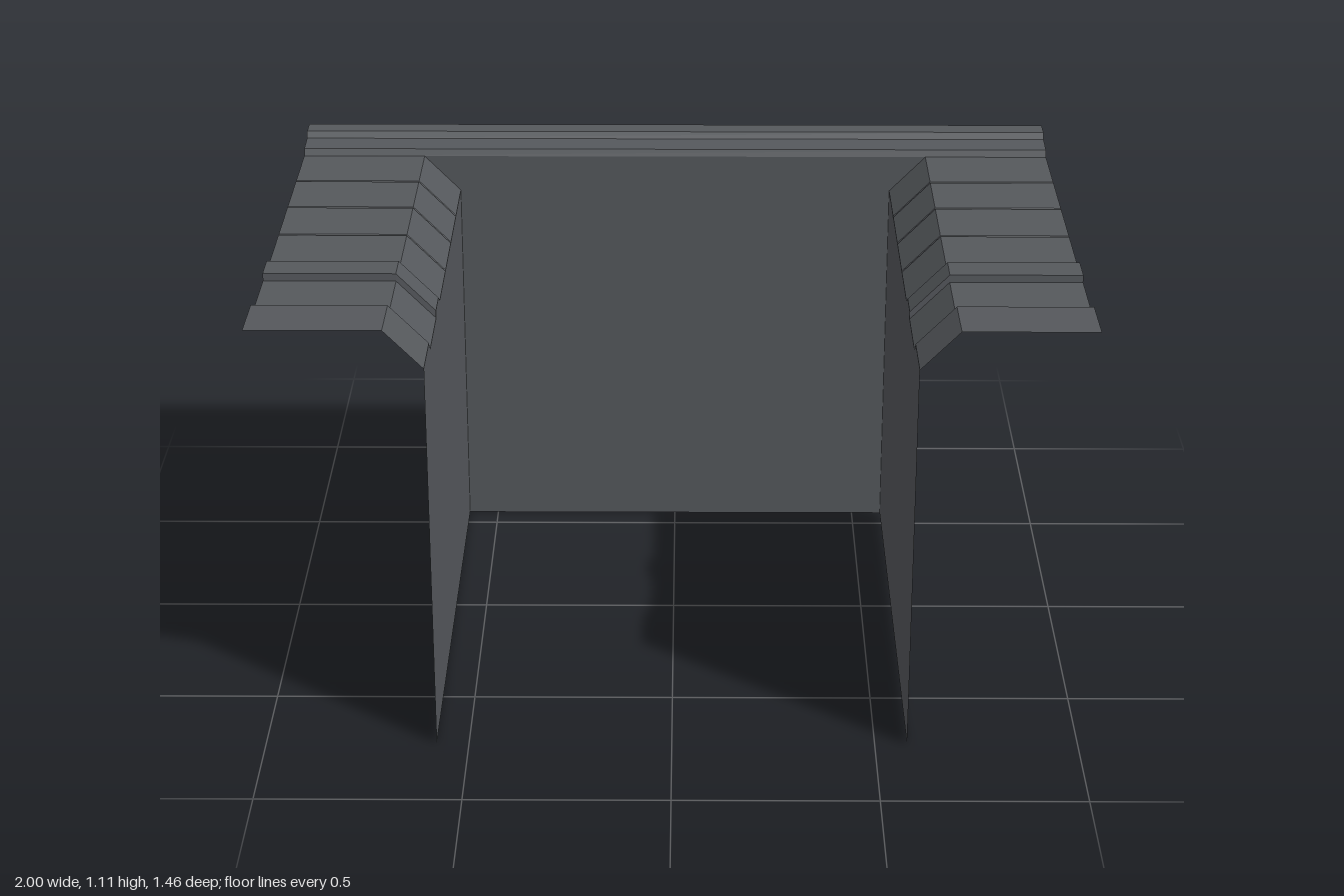
import * as THREE from 'three';

const slate = new THREE.MeshStandardMaterial({ color: 0x55585c, side: THREE.DoubleSide });
slate.name = 'slate grey';

// Flat-shaded sheet joining successive cross-sections of [x, y, z] points
function sheet(name, rows) {
  const pos = [];
  for (let i = 0; i < rows.length - 1; i++) {
    for (let j = 0; j < rows[i].length - 1; j++) {
      const a = rows[i][j], b = rows[i][j + 1], c = rows[i + 1][j + 1], d = rows[i + 1][j];
      pos.push(...a, ...b, ...c, ...a, ...c, ...d);
    }
  }
  const geo = new THREE.BufferGeometry();
  geo.setAttribute('position', new THREE.Float32BufferAttribute(pos, 3));
  geo.computeVertexNormals();
  const mesh = new THREE.Mesh(geo, slate);
  mesh.name = name;
  return mesh;
}

export function createModel() {
  const group = new THREE.Group();
  group.name = 'recess';
  const inner = 0.58, shoulder = 0.675, outer = 1, drop = 0.097, back = -0.567;

  // Rim height along the depth, front to back, as [z, y]
  const rim = [[0.73, 1.102], [0.57, 1.1], [0.54, 1.071], [0.345, 1.071], [0.344, 1.09],
    [0.26, 1.09], [0.22, 1.067]];
  // Narrow seams between the rear panels
  for (const z of [0.022, -0.175, -0.37]) {
    rim.push([z + 0.004, 1.067], [z, 1.063], [z - 0.004, 1.067]);
  }
  rim.push([back, 1.067]);

  // Mirrored side walls and rims
  for (const [side, s] of [['left', 1], ['right', -1]]) {
    group.add(sheet(side + 'Wall', rim.map(([z, y]) => [[s * inner, 0, z], [s * inner, y - drop, z]])));
    group.add(sheet(side + 'Slope', rim.map(([z, y]) => [[s * inner, y - drop, z], [s * shoulder, y, z]])));
    group.add(sheet(side + 'Ledge', rim.map(([z, y]) => [[s * shoulder, y, z], [s * outer, y, z]])));
  }

  // Back wall, flaring out between the slopes
  group.add(sheet('backWall', [[inner, 0], [inner, 0.97], [shoulder, 1.067]].map(
    ([x, y]) => [[-x, y, back], [x, y, back]])));

  // Back rail: one folded profile run across the full width, as [z, y]
  const rail = [[back, 1.067], [-0.575, 1.085], [-0.645, 1.09], [-0.655, 1.107], [-0.71, 1.108],
    [-0.73, 1.09], [-0.73, 1.068], [-0.712, 1.058], [-0.712, 1.002]];
  group.add(sheet('backRail', rail.map(([z, y]) => [[-outer, y, z], [outer, y, z]])));

  return group;
}
